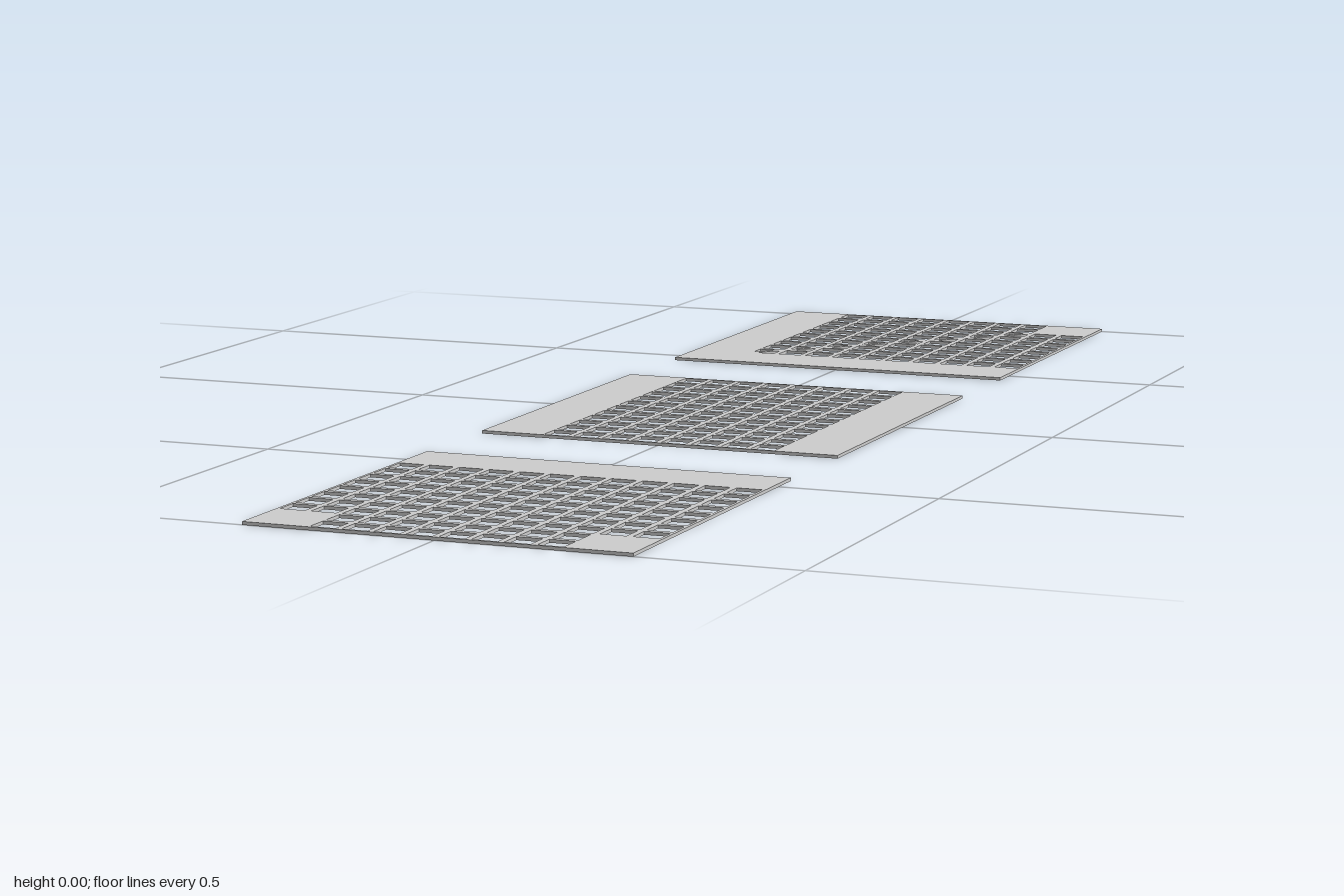
import * as THREE from 'three';

const CELL = 1 / 22;            // grid pitch
const N = 12;                   // cells per tile side
const THICK = 0.1 * CELL;
const HALF = 0.4;               // half hole width, in cells
const WEB = 0.16;               // offset of the diagonal web's edges, in cells

const material = new THREE.MeshStandardMaterial({ color: 0xcccccc, flatShading: true });

// closed path through points given in cells, relative to a centre
const trace = (path, cx, cy, points) => path.setFromPoints(
  points.map(([x, y]) => new THREE.Vector2((cx + x) * CELL, (cy + y) * CELL)));

const square = h => [[-h, -h], [h, -h], [h, h], [-h, h]];

// perforated plate; cellType(column, row) gives 'open', 'split' or nothing
function makeTile(name, z, cellType) {
  const shape = trace(new THREE.Shape(), 0, 0, square(N / 2));
  const hole = (cx, cy, points) =>
    shape.holes.push(trace(new THREE.Path(), cx, cy, points));

  for (let row = 0; row < N; row++) {
    for (let col = 0; col < N; col++) {
      const type = cellType(col, row);
      const cx = col + 0.5 - N / 2, cy = N / 2 - row - 0.5;
      if (type === 'open') hole(cx, cy, square(HALF));
      if (type === 'split') {
        // two triangles either side of the diagonal web
        hole(cx, cy, [[-HALF, HALF], [-HALF, -HALF + WEB], [HALF - WEB, HALF]]);
        hole(cx, cy, [[HALF, -HALF], [HALF, HALF - WEB], [-HALF + WEB, -HALF]]);
      }
    }
  }
  const geometry = new THREE.ExtrudeGeometry(shape, { depth: THICK, bevelEnabled: false });
  geometry.rotateX(-Math.PI / 2);
  const mesh = new THREE.Mesh(geometry, material);
  mesh.name = name;
  mesh.position.z = z;
  return mesh;
}

export function createModel() {
  const group = new THREE.Group();
  group.name = 'perforatedTiles';
  const mid = i => i >= 2 && i <= 9;
  const spacing = 16 * CELL;

  // corner: the strip turns from the back edge to the +x edge, mitred on the diagonal
  group.add(makeTile('cornerTile', -spacing, (c, r) => {
    if (mid(c) && c + r === 11) return 'split';
    return (mid(c) && r <= 9) || (mid(r) && c >= 2) ? 'open' : null;
  }));
  // straight strip running front to back
  group.add(makeTile('straightTile', 0, c => (mid(c) ? 'open' : null)));
  // junction: a strip across, with a branch to the front edge
  group.add(makeTile('junctionTile', spacing, (c, r) =>
    (mid(r) || (mid(c) && r > 9) ? 'open' : null)));

  return group;
}
